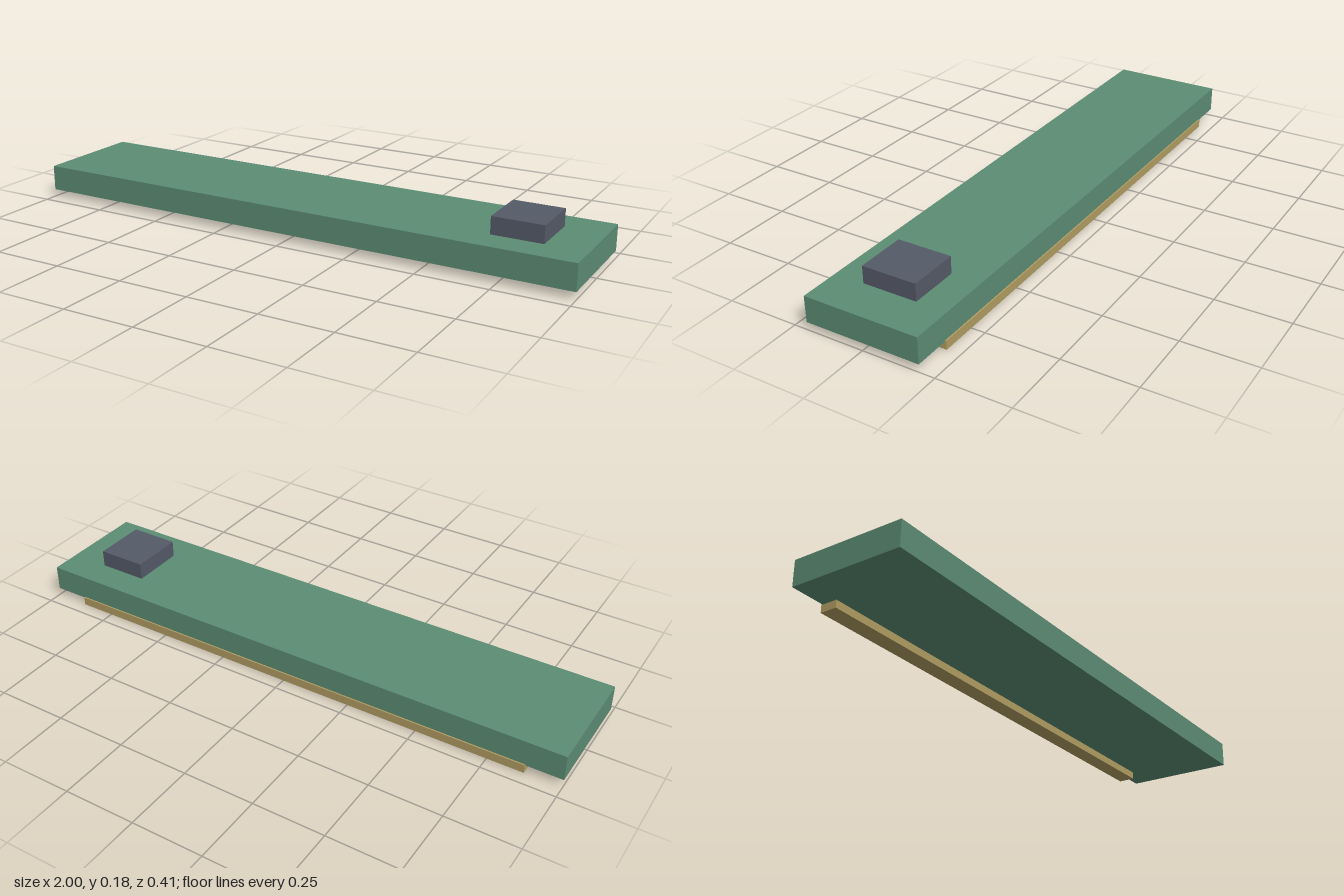
import * as THREE from 'three';

const material = (name, color) => {
  const m = new THREE.MeshStandardMaterial({ color });
  m.name = name;
  return m;
};

// Box given by its min and max corners
function block(name, mat, [x0, y0, z0], [x1, y1, z1]) {
  const mesh = new THREE.Mesh(new THREE.BoxGeometry(x1 - x0, y1 - y0, z1 - z0), mat);
  mesh.position.set((x0 + x1) / 2, (y0 + y1) / 2, (z0 + z1) / 2);
  mesh.name = name;
  return mesh;
}

export function createModel() {
  const green = material('green', 0x5c8c74);
  const slate = material('slate', 0x555a68);
  const brass = material('brass', 0xb09c62);

  const model = new THREE.Group();
  model.name = 'board';
  model.add(
    // Long flat slab
    block('slab', green, [-1, 0.0265, -0.1975], [1, 0.1165, 0.2025]),
    // Small raised block near the left end
    block('topBlock', slate, [0.685, 0.1165, -0.0925], [0.86, 0.1765, 0.0975]),
    // Strip under the rear edge, slightly proud of the back
    block('rearStrip', brass, [-0.875, 0, -0.2025], [0.875, 0.03, -0.1425]),
  );
  return model;
}
